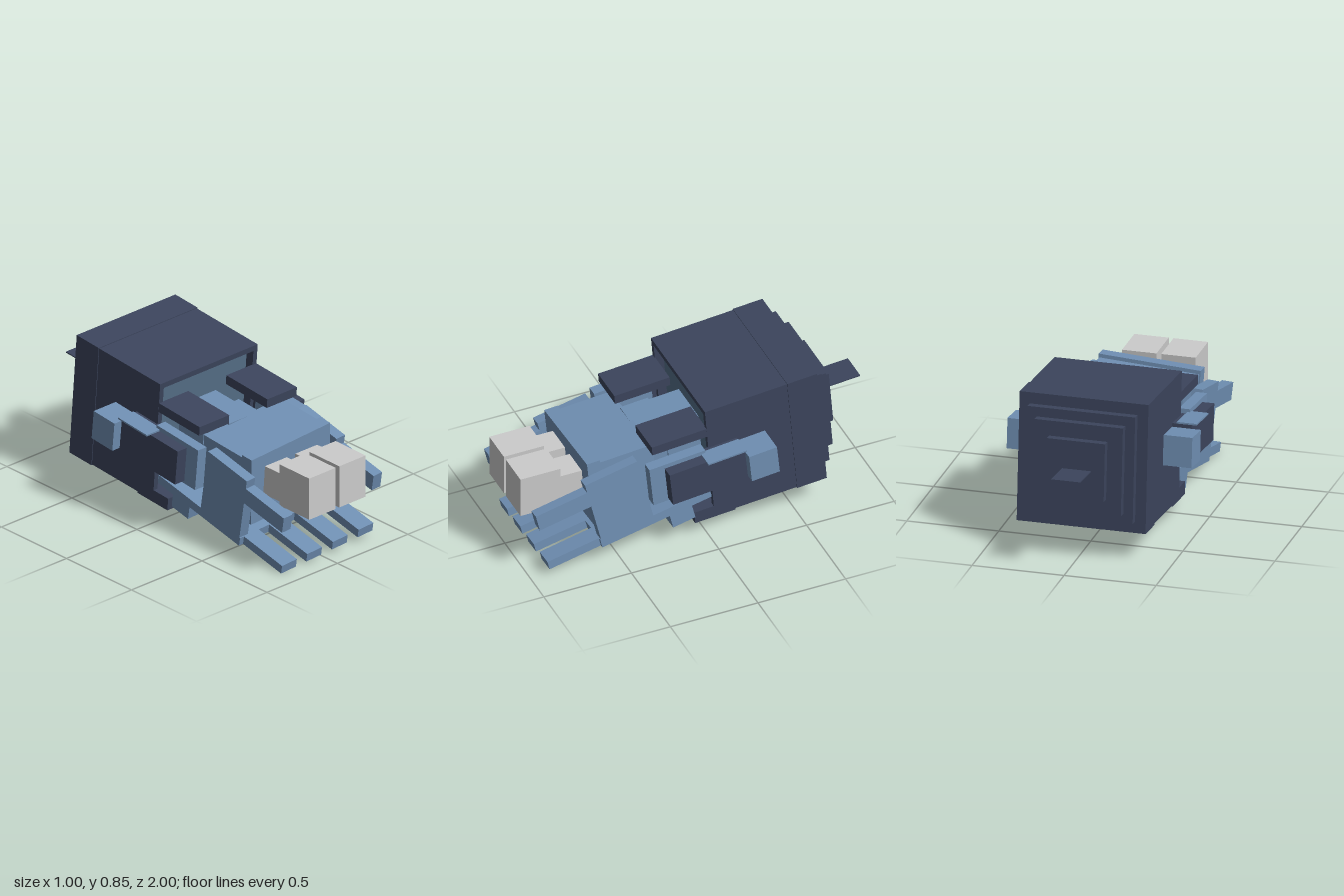
import * as THREE from 'three';

export function createModel() {
  const root = new THREE.Group();
  root.name = 'armouredCreature';

  const material = (name, color) => {
    const m = new THREE.MeshStandardMaterial({ color });
    m.name = name;
    return m;
  };
  const blue = material('skinBlue', 0x7090b4);
  const shade = material('innerBlue', 0x567089);
  const navy = material('shellNavy', 0x3c455d);
  const pale = material('toothGrey', 0xcccccc);

  // A box given by its limits on each axis
  const box = (parent, name, mat, [x0, x1], [y0, y1], [z0, z1]) => {
    const mesh = new THREE.Mesh(new THREE.BoxGeometry(x1 - x0, y1 - y0, z1 - z0), mat);
    mesh.position.set((x0 + x1) / 2, (y0 + y1) / 2, (z0 + z1) / 2);
    mesh.name = name;
    parent.add(mesh);
    return mesh;
  };
  // The same box on both sides
  const pair = (parent, name, mat, [x0, x1], y, z) => {
    box(parent, name + 'Left', mat, [x0, x1], y, z);
    box(parent, name + 'Right', mat, [-x1, -x0], y, z);
  };
  const frame = (name, position, pitch, roll = 0) => {
    const g = new THREE.Group();
    g.name = name;
    g.position.set(...position);
    g.rotation.set(pitch, 0, roll);
    root.add(g);
    return g;
  };

  // Shell: solid rear slab, framed front opening with a recessed blue wall
  const shell = frame('shell', [0, 0.482, -0.335], 0.08);
  box(shell, 'shellRear', navy, [-0.35, 0.35], [-0.353, 0.353], [-0.32, -0.15]);
  box(shell, 'shellRoof', navy, [-0.346, 0.346], [0.318, 0.349], [-0.15, 0.32]);
  box(shell, 'shellFloor', navy, [-0.346, 0.346], [-0.349, -0.318], [-0.15, 0.32]);
  pair(shell, 'shellWall', navy, [0.318, 0.346], [-0.318, 0.318], [-0.15, 0.32]);
  box(shell, 'shellInner', shade, [-0.318, 0.318], [-0.318, 0.318], [-0.15, 0.27]);

  // Stepped square plates and the flat tail
  [0.292, 0.24, 0.158].forEach((h, i) => {
    const z = -0.32 - i * 0.046;
    box(shell, 'rearStep' + (i + 1), navy, [-h, h], [-h, h], [z - 0.046, z]);
  });
  box(shell, 'tail', navy, [-0.085, 0.072], [-0.003, 0.003], [-0.663, -0.458]);

  // Brow flaps and the lower lip of the shell
  const brow = frame('brow', [0, 0.652, 0.155], 0.08);
  pair(brow, 'browFlap', navy, [0.135, 0.345], [-0.026, 0.026], [-0.158, 0.158]);
  const chin = frame('chin', [0, 0.13, -0.05], 0.08);
  box(chin, 'shellLip', navy, [-0.346, 0.346], [-0.03, 0.04], [-0.11, 0.12]);

  // Upper head with a raised front rim
  const head = frame('head', [0.005, 0.408, 0.45], 0.08, 0.062);
  box(head, 'skull', blue, [-0.272, 0.272], [-0.19, 0.178], [-0.19, 0.11]);
  box(head, 'faceRim', blue, [-0.278, 0.278], [-0.198, 0.198], [0.11, 0.185]);

  // Neck joining head and shell
  const neck = frame('neck', [0, 0.45, 0.1], 0.08);
  box(neck, 'neckFront', blue, [-0.115, 0.1], [-0.13, 0.165], [0.02, 0.18]);
  box(neck, 'neckRear', blue, [-0.14, 0.11], [-0.11, 0.13], [-0.25, 0.02]);

  // Two large teeth on narrower roots
  pair(root, 'tooth', pale, [0.013, 0.2], [0.328, 0.568], [0.77, 1.0]);
  pair(root, 'toothRoot', pale, [0.03, 0.185], [0.34, 0.505], [0.6, 0.77]);

  // Jaw: tilted plate, four prongs, cheek plates with upper prongs
  const jaw = frame('jaw', [0.005, 0.4, 0.3], 0.22, 0.062);
  box(jaw, 'jawPlate', blue, [-0.345, 0.345], [-0.236, -0.186], [-0.28, 0.36]);
  [-0.265, -0.088, 0.092, 0.272].forEach((x, i) =>
    box(jaw, 'jawProng' + (i + 1), blue, [x - 0.052, x + 0.052], [-0.236, -0.186], [0.36, 0.66]));
  box(jaw, 'jawHinge', blue, [-0.34, 0.34], [-0.32, -0.236], [-0.165, -0.035]);
  pair(jaw, 'cheek', blue, [0.285, 0.345], [-0.19, 0.19], [0.05, 0.355]);
  pair(jaw, 'cheekProng', blue, [0.285, 0.345], [0.045, 0.14], [0.355, 0.655]);

  // Side fins: blue root, dark sleeve with a blue cap, blue end block
  const fins = frame('fins', [0, 0.46, 0.035], 0.1);
  pair(fins, 'finSleeve', navy, [0.34, 0.45], [-0.1, 0.1], [-0.215, 0.215]);
  pair(fins, 'finCap', blue, [0.37, 0.478], [0.1, 0.109], [-0.215, 0.005]);
  pair(fins, 'finEnd', blue, [0.34, 0.502], [-0.085, 0.08], [-0.375, -0.215]);
  pair(fins, 'finRoot', blue, [0.325, 0.385], [-0.115, 0.125], [-0.02, 0.3]);

  return root;
}
